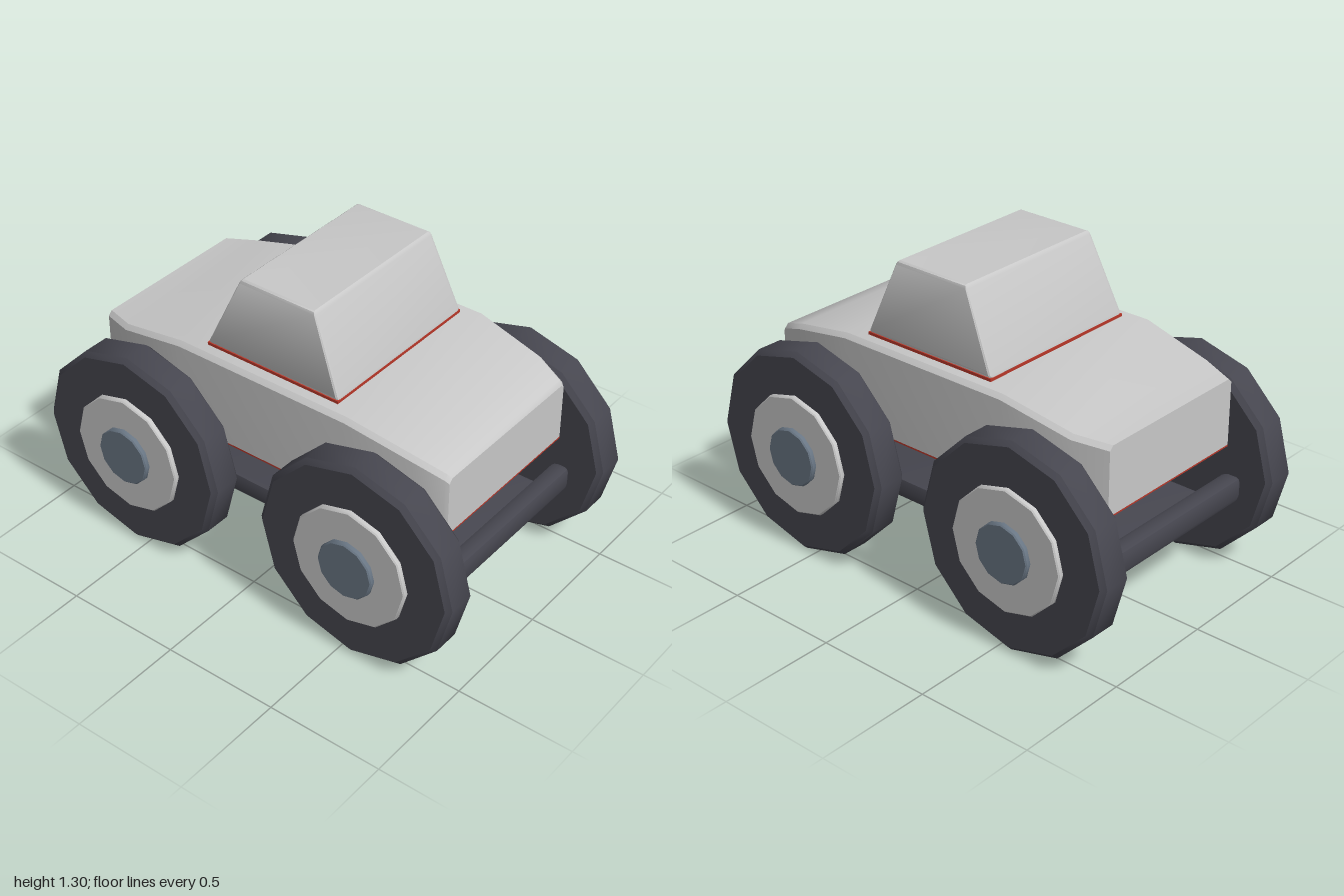
import * as THREE from 'three';
import { toCreasedNormals } from 'three/addons/utils/BufferGeometryUtils.js';
import { RoundedBoxGeometry } from 'three/addons/geometries/RoundedBoxGeometry.js';

const material = (name, color) => {
  const m = new THREE.MeshStandardMaterial({ color });
  m.name = name;
  return m;
};

const part = (name, geometry, mat) => {
  const mesh = new THREE.Mesh(toCreasedNormals(geometry, 0.6), mat);
  mesh.name = name;
  return mesh;
};

// Joins rings of [x, y, z] points, stacked along +x, into a closed solid
function loft(rings) {
  const n = rings[0].length;
  const last = (rings.length - 1) * n;
  const index = [];
  for (let i = 0; i < rings.length - 1; i++) {
    for (let j = 0; j < n; j++) {
      const k = (j + 1) % n;
      const a = i * n + j, b = i * n + k, c = b + n, d = a + n;
      index.push(a, b, c, a, c, d);
    }
  }
  for (let j = 1; j < n - 1; j++) {
    index.push(0, j + 1, j, last, last + j, last + j + 1);
  }
  const g = new THREE.BufferGeometry();
  g.setAttribute('position', new THREE.Float32BufferAttribute(rings.flat(2), 3));
  g.setIndex(index);
  return g;
}

// Cross-section of the hull with chamfered top edges
const section = (x, w, bottom, top, c) => [
  [x, top, c - w], [x, top, w - c], [x, top - c, w],
  [x, bottom, w], [x, bottom, -w], [x, top - c, -w],
];

// Twelve-sided bevelled disc facing z, from z0 to z1
function disc(r, z0, z1, bevel) {
  const profile = [
    [0, z0], [r - bevel, z0], [r, z0 + bevel], [r, z1 - bevel], [r - bevel, z1], [0, z1],
  ].map(([x, y]) => new THREE.Vector2(x, y));
  return new THREE.LatheGeometry(profile, 12).rotateX(Math.PI / 2);
}

// Bevelled bar between two corners
function bar(x0, x1, y0, y1, halfZ, bevel) {
  return new RoundedBoxGeometry(x1 - x0, y1 - y0, halfZ * 2, 1, bevel)
    .translate((x0 + x1) / 2, (y0 + y1) / 2, 0);
}

export function createModel() {
  const model = new THREE.Group();
  model.name = 'buggy';
  const shell = material('light grey shell', 0xc8c8c8);
  const rubber = material('charcoal rubber', 0x46464f);
  const steel = material('blue grey steel', 0x697684);
  const red = material('red trim', 0xb8382a);

  // Hull stations: x, half width, roof height
  const stations = [
    [-0.84, 0.37, 0.885], [-0.7, 0.42, 0.902], [-0.39, 0.45, 0.97],
    [0.41, 0.45, 0.97], [0.7, 0.42, 0.91], [0.82, 0.388, 0.865], [0.835, 0.378, 0.85],
  ];
  model.add(part('hull', loft(stations.map(([x, w, top]) => section(x, w, 0.597, top, 0.018))), shell));
  model.add(part('hullFloor', loft(stations.map(([x, w]) => section(x, w, 0.59, 0.597, 0))), red));

  // Cabin: a box tapered towards the roof
  const cabin = new RoundedBoxGeometry(1, 0.327, 0.78, 1, 0.015);
  const p = cabin.attributes.position;
  for (let i = 0; i < p.count; i++) {
    const t = p.getY(i) / 0.327 + 0.5;
    const x0 = THREE.MathUtils.lerp(-0.295, -0.145, t);
    const x1 = THREE.MathUtils.lerp(0.34, 0.205, t);
    p.setXYZ(i, x0 + (p.getX(i) + 0.5) * (x1 - x0), 0.978 + t * 0.327,
      p.getZ(i) * THREE.MathUtils.lerp(1, 0.925, t));
  }
  model.add(part('cabin', cabin, shell));
  model.add(part('cabinTrim', new THREE.BoxGeometry(0.63, 0.014, 0.78).translate(0.022, 0.975, 0), red));

  // Underbody plate and bumpers
  model.add(part('chassisPlate', bar(-0.78, 0.77, 0.27, 0.36, 0.355, 0.022), rubber));
  model.add(part('rightBumper', bar(-0.915, -0.83, 0.375, 0.48, 0.375, 0.025), rubber));
  model.add(part('leftBumper', bar(0.82, 0.9, 0.375, 0.48, 0.375, 0.025), rubber));

  // Four wheels, hubs facing outwards
  for (const x of [-0.555, 0.555]) {
    for (const side of [1, -1]) {
      const wheel = new THREE.Group();
      wheel.name = (side > 0 ? 'front' : 'back') + (x > 0 ? 'Left' : 'Right') + 'Wheel';
      wheel.add(
        part('tire', disc(0.445, 0.437, 0.59, 0.02), rubber),
        part('rim', disc(0.26, 0.585, 0.612, 0.005), shell),
        part('hubCap', disc(0.125, 0.605, 0.634, 0.005), steel),
      );
      wheel.position.set(x, 0.447, 0);
      wheel.rotation.y = side > 0 ? 0 : Math.PI;
      model.add(wheel);
    }
  }
  return model;
}
